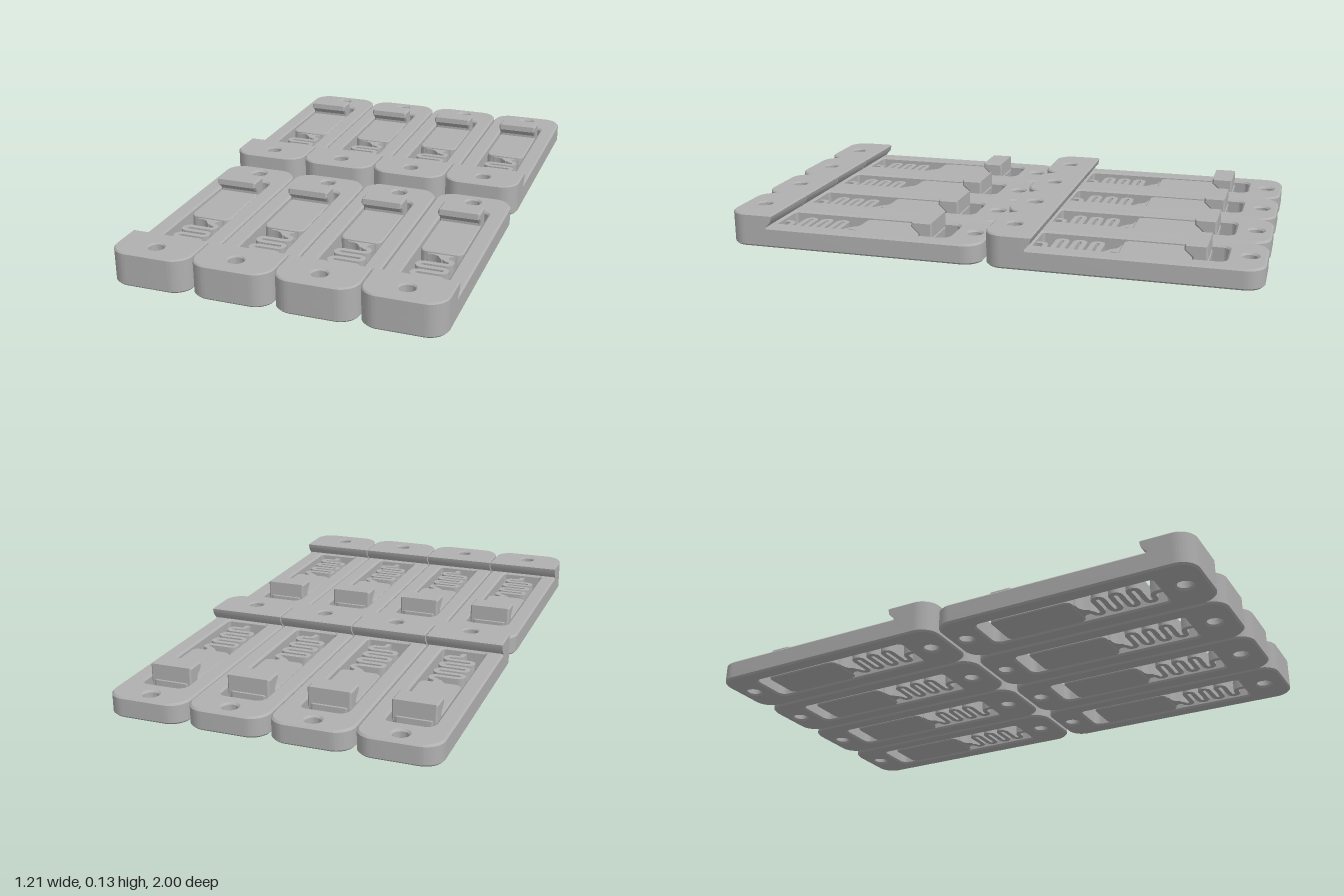
import * as THREE from 'three';
import { toCreasedNormals } from 'three/addons/utils/BufferGeometryUtils.js';

const HALF_W = 0.149, HALF_L = 0.497;
const BASE_TOP = 0.078, TOP = 0.127;

// Rounded outline in plan (x, z); radii for the back and front ends
function plan(halfW, z0, z1, rBack, rFront, Type = THREE.Shape) {
  const s = new Type();
  const a = -z1, b = -z0; // shape y is -z
  s.moveTo(-halfW + rFront, a);
  s.lineTo(halfW - rFront, a);
  if (rFront) s.absarc(halfW - rFront, a + rFront, rFront, -Math.PI / 2, 0, false);
  s.lineTo(halfW, b - rBack);
  if (rBack) s.absarc(halfW - rBack, b - rBack, rBack, 0, Math.PI / 2, false);
  s.lineTo(-halfW + rBack, b);
  if (rBack) s.absarc(-halfW + rBack, b - rBack, rBack, Math.PI / 2, Math.PI, false);
  s.lineTo(-halfW, a + rFront);
  if (rFront) s.absarc(-halfW + rFront, a + rFront, rFront, Math.PI, Math.PI * 1.5, false);
  s.closePath();
  return s;
}

function screwHole(z) {
  return new THREE.Path().absarc(0, -z, 0.028, 0, Math.PI * 2, true);
}

// Upright extrusion from y0 to y1 with chamfered rims
function slab(shape, y0, y1, bevel, steps = 1) {
  const g = new THREE.ExtrudeGeometry(shape, {
    depth: y1 - y0 - 2 * bevel, steps, curveSegments: 10,
    bevelEnabled: bevel > 0, bevelSize: bevel, bevelThickness: bevel,
    bevelOffset: -bevel, bevelSegments: 1,
  });
  g.rotateX(-Math.PI / 2);
  g.translate(0, y0 + bevel, 0);
  return g;
}

// Profile in (z, y) extruded across x and centred
function across(points, width, bevel) {
  const shape = new THREE.Shape(points.map(p => new THREE.Vector2(...p)));
  const g = new THREE.ExtrudeGeometry(shape, {
    depth: width - 2 * bevel, bevelEnabled: true, bevelSize: bevel,
    bevelThickness: bevel, bevelOffset: -bevel, bevelSegments: 1,
  });
  g.translate(0, 0, -(width - 2 * bevel) / 2);
  g.rotateY(-Math.PI / 2);
  return g;
}

function frameGeometry() {
  const s = plan(HALF_W, -HALF_L, HALF_L, 0.07, 0.07);
  s.holes.push(plan(0.085, -0.36, 0.33, 0.03, 0.01, THREE.Path), screwHole(-0.437), screwHole(0.415));
  return slab(s, 0, BASE_TOP, 0.007);
}

// Raised end block whose inner face is undercut
function blockGeometry() {
  const s = plan(HALF_W, 0.315, HALF_L, 0, 0.07);
  s.holes.push(screwHole(0.415));
  const g = slab(s, 0.03, TOP, 0.005, 4);
  const p = g.attributes.position;
  for (let i = 0; i < p.count; i++) {
    if (p.getZ(i) > 0.33) continue;
    const t = THREE.MathUtils.clamp((0.105 - p.getY(i)) / 0.025, 0, 1);
    p.setZ(i, p.getZ(i) + 0.025 * t);
  }
  return g;
}

// Serpentine ribbon, offset from its centre line
function springGeometry() {
  const line = [[0.02, 0.01], [0.02, 0.045], [0.03, 0.057]];
  const r = 0.0165, passes = 8, z0 = 0.062, reach = 0.039;
  for (let i = 0; i < passes; i++) {
    const side = i % 2 ? -1 : 1, z = z0 + i * 2 * r;
    if (i === passes - 1) {
      line.push([0.02, z], [0.006, z + 0.006], [0, z + 0.02], [0, 0.345]);
      break;
    }
    for (let k = 0; k <= 8; k++) {
      const a = (k / 8) * Math.PI;
      line.push([side * (reach + r * Math.sin(a)), z + r - r * Math.cos(a)]);
    }
  }
  const left = [], right = [], half = 0.0098;
  line.forEach(([x, z], i) => {
    const a = line[Math.max(i - 1, 0)], b = line[Math.min(i + 1, line.length - 1)];
    const len = Math.hypot(b[0] - a[0], b[1] - a[1]);
    const nx = -(b[1] - a[1]) / len * half, nz = (b[0] - a[0]) / len * half;
    left.push(new THREE.Vector2(x + nx, -(z + nz)));
    right.unshift(new THREE.Vector2(x - nx, -(z - nz)));
  });
  return slab(new THREE.Shape([...left, ...right]), 0.004, 0.062, 0);
}

// Tapered neck joining slider and spring
function neckGeometry() {
  const s = new THREE.Shape();
  s.moveTo(-0.055, 0);
  s.lineTo(-0.045, -0.026);
  s.quadraticCurveTo(-0.01, -0.026, 0.0, -0.042);
  s.lineTo(0.012, -0.058);
  s.lineTo(0.04, -0.058);
  s.quadraticCurveTo(0.03, -0.03, 0.055, -0.02);
  s.lineTo(0.055, 0);
  s.closePath();
  return slab(s, 0.004, 0.062, 0);
}

// V rib guiding the slider along the right wall of the window
function ribGeometry() {
  const s = new THREE.Shape([[0.088, 0.008], [0.088, 0.07], [0.0805, 0.039]].map(p => new THREE.Vector2(...p)));
  const g = new THREE.ExtrudeGeometry(s, { depth: 0.16, bevelEnabled: false });
  return g.translate(0, 0, -0.26);
}

export function createModel() {
  const plastic = new THREE.MeshStandardMaterial({ color: 0xb0b0b0 });
  plastic.name = 'grey plastic';

  const hook = across([
    [-0.297, 0.05], [-0.297, TOP], [-0.217, TOP], [-0.215, 0.105],
    [-0.243, 0.08], [-0.243, 0.05],
  ], 0.16, 0.006);

  const parts = {
    frame: frameGeometry(),
    endBlock: blockGeometry(),
    slider: slab(plan(0.079, -0.3, 0.02, 0.022, 0.025), 0.001, 0.07, 0.004),
    sliderHook: hook,
    springNeck: neckGeometry(),
    spring: springGeometry(),
    guideRib: ribGeometry(),
    oppositeGuideRib: ribGeometry().rotateY(Math.PI).translate(0, 0, -0.36),
  };
  for (const key in parts) parts[key] = toCreasedNormals(parts[key], 0.6);

  // Two rows of four identical latches
  const model = new THREE.Group();
  model.name = 'latchSet';
  for (const z of [-0.503, 0.503]) {
    for (let i = 0; i < 4; i++) {
      const latch = new THREE.Group();
      latch.name = 'latch';
      for (const [name, geometry] of Object.entries(parts)) {
        const mesh = new THREE.Mesh(geometry, plastic);
        mesh.name = name;
        latch.add(mesh);
      }
      latch.position.set((i - 1.5) * 0.303, 0, z);
      model.add(latch);
    }
  }
  return model;
}
